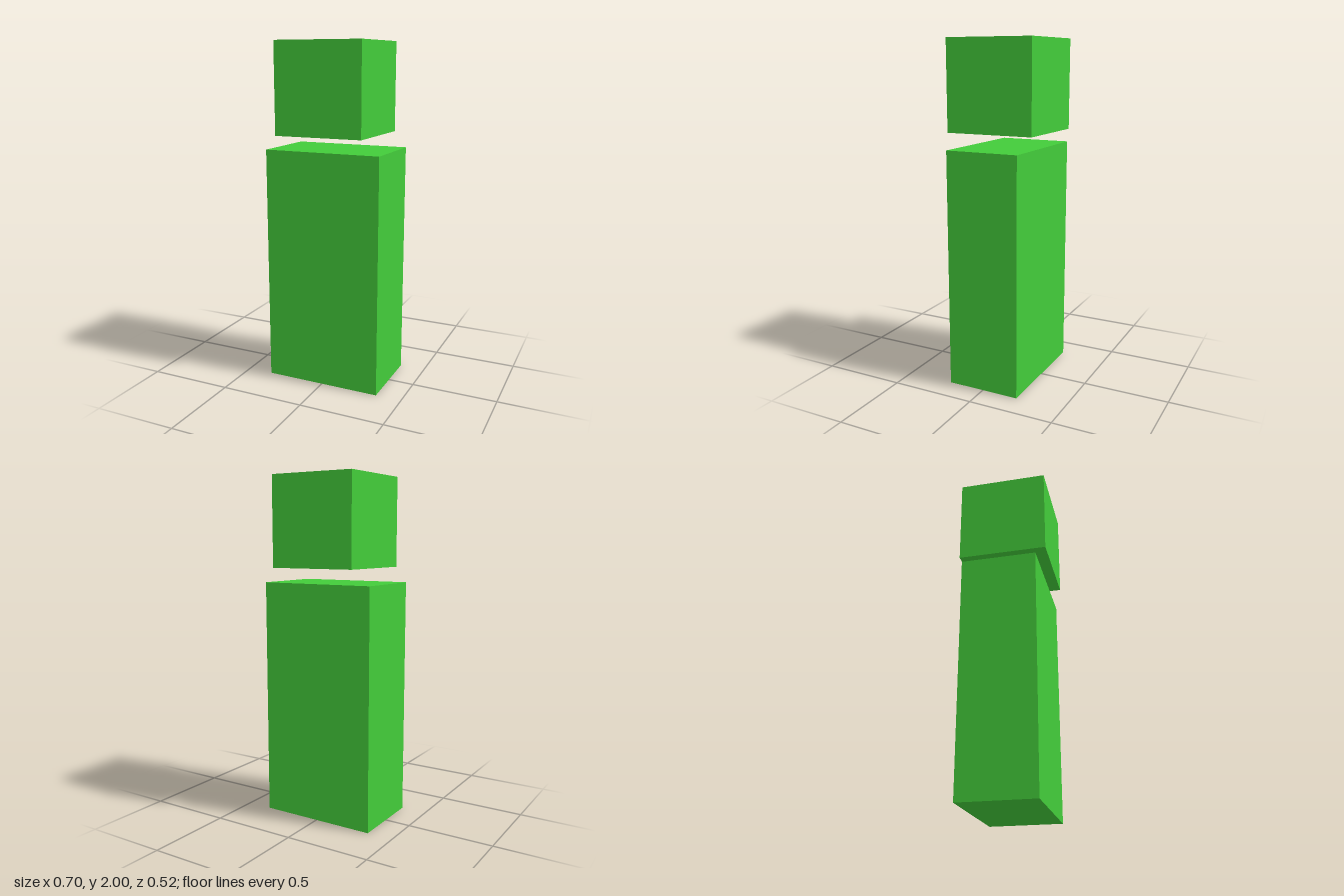
import * as THREE from 'three';

export function createModel() {
  const group = new THREE.Group();
  const material = new THREE.MeshStandardMaterial({ color: 0x43cc3a });

  // Box standing on a given height
  const addBox = (name, width, height, depth, bottom) => {
    const mesh = new THREE.Mesh(new THREE.BoxGeometry(width, height, depth), material);
    mesh.name = name;
    mesh.position.y = bottom + height / 2;
    group.add(mesh);
  };

  // Slab body, with a cube head floating just above it
  addBox('body', 0.696, 1.391, 0.435, 0);
  addBox('head', 0.522, 0.522, 0.522, 1.478);

  return group;
}
